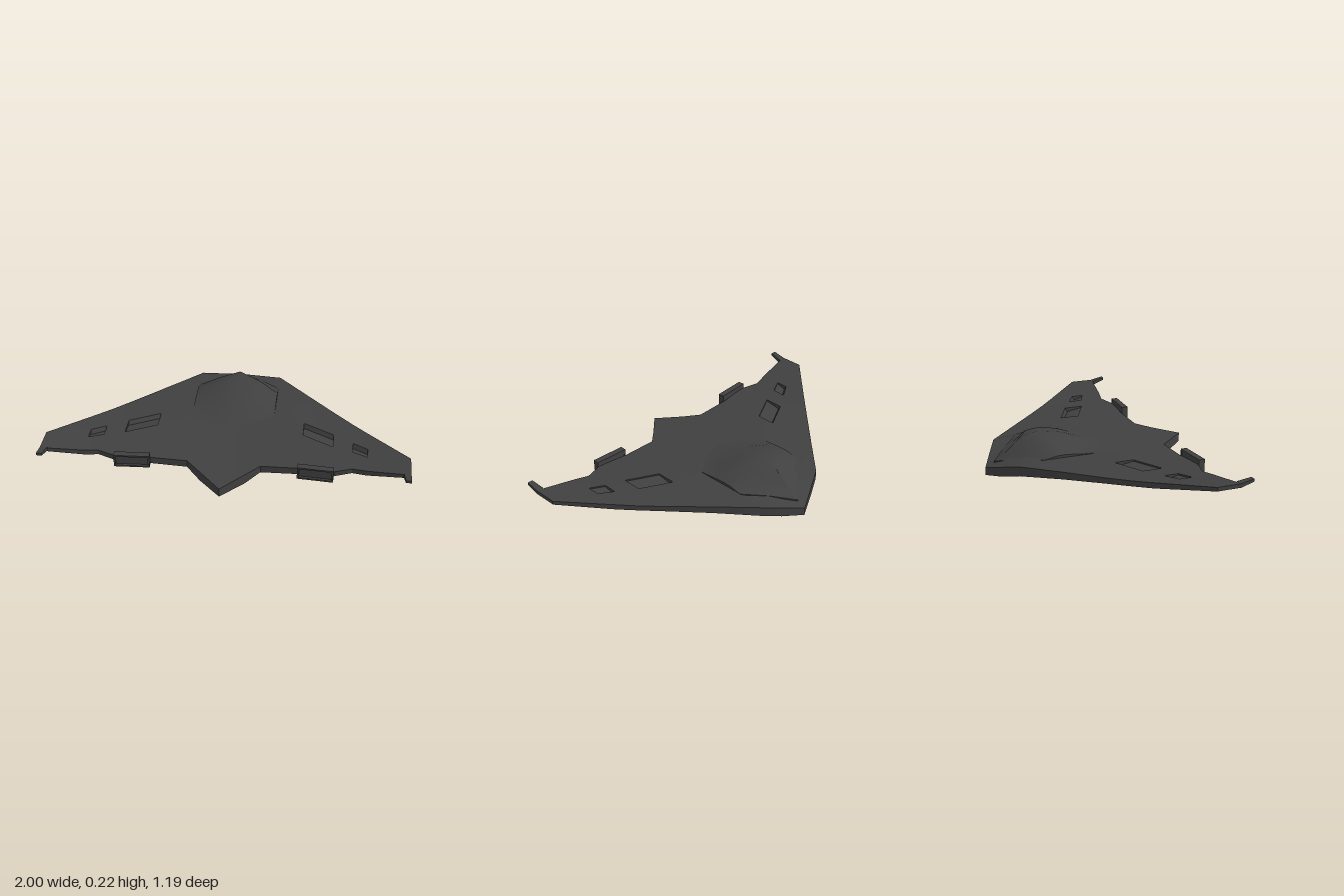
import * as THREE from 'three';
import { toCreasedNormals } from 'three/addons/utils/BufferGeometryUtils.js';

const material = new THREE.MeshStandardMaterial({ color: 0x404040 });
const { lerp } = THREE.MathUtils;

// Collects quads on the +x half and their mirror images on the -x half.
class Skin {
  constructor() { this.positions = []; }
  quad(a, b, c, d) {
    const flip = ([x, y, z]) => [-x, y, z];
    for (const p of [a, b, c, a, c, d]) this.positions.push(...p);
    for (const p of [d, c, b, d, b, a].map(flip)) this.positions.push(...p);
  }
  // Walls joining two matching rings of four corners
  band(from, to) {
    for (let k = 0; k < 4; k++) {
      const n = (k + 1) % 4;
      this.quad(from[k], from[n], to[n], to[k]);
    }
  }
  mesh(name, crease) {
    const geometry = new THREE.BufferGeometry();
    geometry.setAttribute('position', new THREE.Float32BufferAttribute(this.positions, 3));
    const mesh = new THREE.Mesh(toCreasedNormals(geometry, crease), material);
    mesh.name = name;
    return mesh;
  }
}

// Wing section: leading-edge to trailing-edge z, top heights there and amidships, underside height.
const section = (x, z, lead, mid, trail, under, rearX = x) => {
  const centre = Math.max(0, 1 - x / 0.41);
  const nose = Math.max(0, 1 - x / 0.12);
  const tops = [lead, mid, mid, trail];
  const unders = [under - 0.015 * nose, under, under, under + 0.03 * centre];
  const points = (heights) => heights.map((y, j) => [j === 3 ? rearX : x, y, z[j]]);
  return { top: points(tops), bottom: points(unders) };
};

function buildHull() {
  const sections = [
    section(0, [-0.6, -0.4, 0.1, 0.59], 0.05, 0.138, 0.1, 0.02),
    section(0.12, [-0.54, -0.38, 0.1, 0.47], 0.085, 0.138, 0.11, 0.03),
    section(0.235, [-0.48, -0.32, 0.1, 0.395], 0.12, 0.138, 0.12, 0.066, 0.2),
    section(0.41, [-0.3, 0, 0.11, 0.395], 0.127, 0.139, 0.125, 0.086),
    section(0.58, [-0.128, 0.09, 0.2, 0.415], 0.132, 0.139, 0.13, 0.1),
    section(0.69, [-0.016, 0.16, 0.24, 0.38], 0.138, 0.142, 0.136, 0.108),
    section(0.77, [0.066, 0.21, 0.28, 0.4], 0.146, 0.146, 0.144, 0.115),
    section(1, [0.3, 0.34, 0.39, 0.44], 0.172, 0.172, 0.171, 0.15),
  ];
  const ventBays = [3, 5];
  const hull = new Skin(), vents = new Skin();

  for (let i = 0; i < sections.length - 1; i++) {
    const { top: a, bottom: c } = sections[i];
    const { top: b, bottom: d } = sections[i + 1];
    for (let j = 0; j < 3; j++) {
      const rim = [a[j], a[j + 1], b[j + 1], b[j]];
      if (j === 1 && ventBays.includes(i)) buildVent(vents, rim);
      else hull.quad(...rim);
      hull.quad(c[j], d[j], d[j + 1], c[j + 1]);
    }
    // Leading and trailing edge walls
    hull.quad(a[0], b[0], d[0], c[0]);
    hull.quad(b[3], a[3], c[3], d[3]);
  }
  // Wing tip walls
  const { top, bottom } = sections.at(-1);
  for (let j = 0; j < 3; j++) hull.quad(top[j], top[j + 1], bottom[j + 1], bottom[j]);
  return [hull.mesh('flyingWingHull', 0.5), vents.mesh('wingVents', 0.1)];
}

// Sunken bay: sloped front wall and a floor that rises toward the rear.
function buildVent(skin, rim) {
  const floor = rim.map(([x, y, z], k) => (k % 3 === 0 ? [x, y - 0.024, z + 0.015] : [x, y - 0.008, z]));
  skin.quad(...floor);
  skin.band(rim, floor);
}

// Raised canopy hump with a pointed front lip and a short skirt into the hull.
function buildCanopy() {
  const stops = [0, 0.095, 0.254, 0.413, 0.635, 0.825, 1];
  const bulge = [0, 0.029, 0.11, 0.12, 0.082, 0.025, 0];
  const line = (x, front, rear, frontY, rise) =>
    stops.map((t, j) => [x, lerp(frontY, 0.14, t) + rise * bulge[j], lerp(front, rear, t)]);
  const lines = [
    line(0, -0.55, 0.08, 0.08, 1),
    line(0.12, -0.445, 0.03, 0.118, 0.64),
    line(0.235, -0.34, -0.05, 0.138, 0.12),
  ];
  const skin = new Skin();
  const skirt = (p, q) => skin.quad(p, q, [q[0], q[1] - 0.03, q[2]], [p[0], p[1] - 0.03, p[2]]);
  for (let j = 0; j < 6; j++) {
    for (let i = 0; i < 2; i++) skin.quad(lines[i][j], lines[i][j + 1], lines[i + 1][j + 1], lines[i + 1][j]);
    skirt(lines[2][j], lines[2][j + 1]);
  }
  for (let i = 0; i < 2; i++) skirt(lines[i][0], lines[i + 1][0]);
  return skin.mesh('canopy', 0.6);
}

// Small upswept fins behind the wing tips.
function buildTipFins() {
  const skin = new Skin();
  const ring = (inner, low, high, z) => [[inner, high, z], [1, high, z], [1, low, z], [inner, low, z]];
  const back = ring(0.97, 0.172, 0.187, 0.51);
  skin.band(back, ring(0.96, 0.148, 0.171, 0.43));
  skin.quad(...back.reverse());
  return skin.mesh('wingTipFins', 0.1);
}

// Rectangular exhaust: an open frame with a recessed plate inside.
function buildExhaust(side) {
  const group = new THREE.Group();
  group.name = side > 0 ? 'leftExhaust' : 'rightExhaust';
  const rect = (path, w, h) => path.moveTo(-w, -h).lineTo(w, -h).lineTo(w, h).lineTo(-w, h).closePath();
  const shape = rect(new THREE.Shape(), 0.097, 0.037);
  shape.holes.push(rect(new THREE.Path(), 0.088, 0.028));
  const frame = new THREE.Mesh(new THREE.ExtrudeGeometry(shape, { depth: 0.036, bevelEnabled: false }), material);
  frame.name = 'exhaustFrame';
  const plate = new THREE.Mesh(new THREE.BoxGeometry(0.18, 0.06, 0.02), material);
  plate.name = 'exhaustPlate';
  plate.position.z = 0.012;
  group.add(frame, plate);
  group.position.set(side * 0.498, 0.123, 0.405);
  group.rotation.y = -side * 0.06;
  return group;
}

export function createModel() {
  const model = new THREE.Group();
  model.name = 'flyingWing';
  model.add(...buildHull(), buildCanopy(), buildTipFins());
  for (const side of [1, -1]) model.add(buildExhaust(side));
  return model;
}
